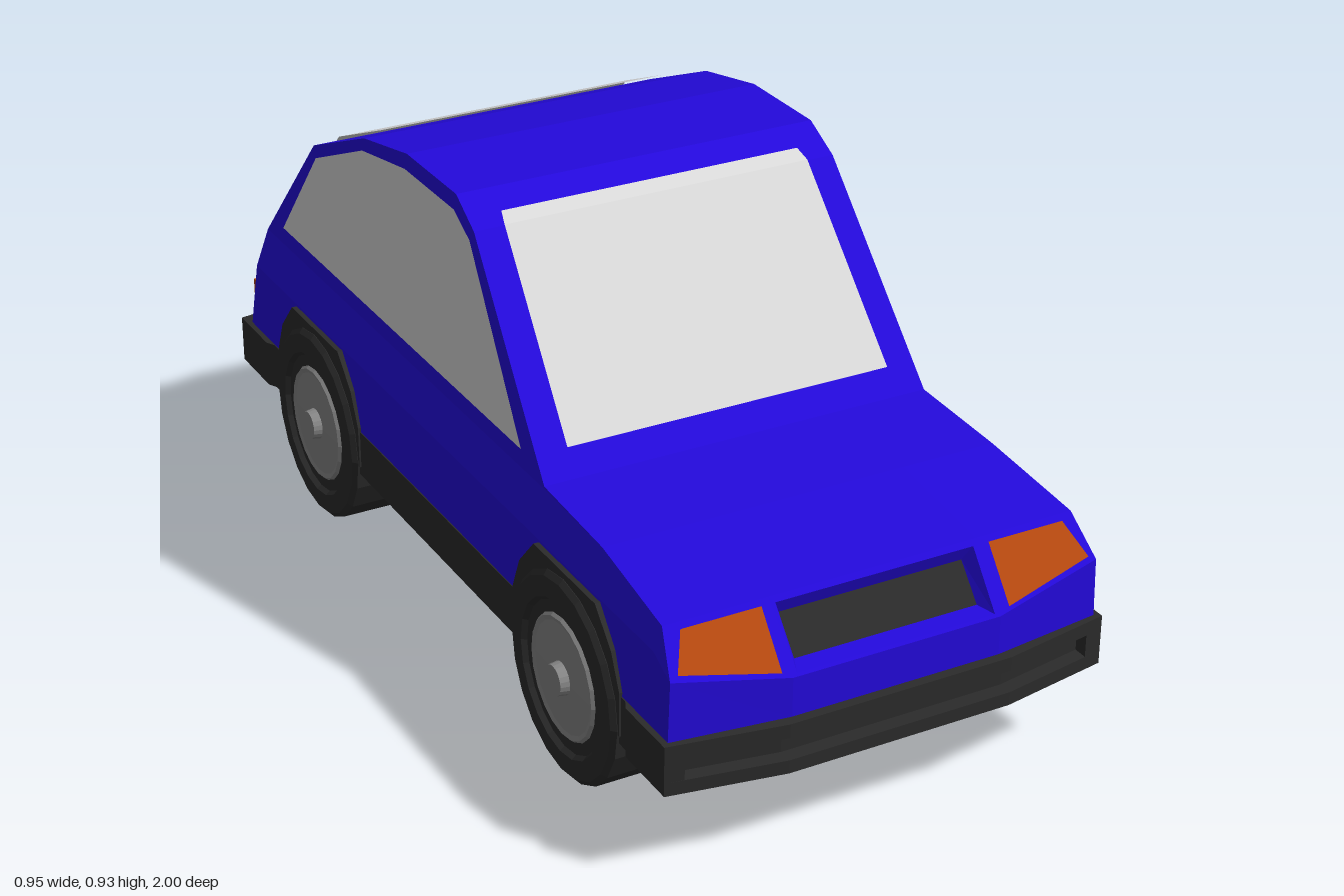
import * as THREE from 'three';

const mat = (name, color, side = THREE.FrontSide) => {
  const m = new THREE.MeshStandardMaterial({ color, side });
  m.name = name;
  return m;
};

export function createModel() {
  const car = new THREE.Group();
  car.name = 'car';
  const blue = mat('blue paint', 0x2409dd);
  const black = mat('black plastic', 0x2b2b2b);
  const glass = mat('pale glass', 0xdadada, THREE.DoubleSide);
  const grey = mat('wheel grey', 0x888888);
  const orange = mat('orange lamp', 0xb8490f, THREE.DoubleSide);

  const add = (name, geo, material) => {
    const flat = geo.index ? geo.toNonIndexed() : geo;
    flat.computeVertexNormals();
    const mesh = new THREE.Mesh(flat, material);
    mesh.name = name;
    car.add(mesh);
    return mesh;
  };
  // Faceted geometry from a list of four-cornered faces
  const fromQuads = (quads) => {
    const pos = [];
    for (const [a, b, c, d] of quads) pos.push(...a, ...b, ...c, ...a, ...c, ...d);
    const g = new THREE.BufferGeometry();
    g.setAttribute('position', new THREE.Float32BufferAttribute(pos, 3));
    return g;
  };
  // Faces between neighbouring rows of points
  const loft = (rows, skip = () => false) => {
    const quads = [];
    for (let i = 0; i < rows.length - 1; i++)
      for (let k = 0; k < rows[i].length - 1; k++)
        if (!skip(i, k)) quads.push([rows[i][k], rows[i + 1][k], rows[i + 1][k + 1], rows[i][k + 1]]);
    return quads;
  };
  const shape = (pts) => new THREE.Shape(pts.map(([x, y]) => new THREE.Vector2(x, y)));

  // Half width of the body at a height
  const hw = (y) => {
    const t = [[0.28, 0.445], [0.43, 0.44], [0.51, 0.41], [0.935, 0.385]];
    const i = y < 0.43 ? 0 : y < 0.51 ? 1 : 2;
    return THREE.MathUtils.mapLinear(y, t[i][0], t[i + 1][0], t[i][1], t[i + 1][1]);
  };

  // Body stations: z and y of the middle, then of the outer edge
  const IN = 0.215;
  const stations = [
    [0.98, 0.28, 0.95, 0.28], [0.98, 0.36, 0.95, 0.4], [0.89, 0.475, 0.888, 0.475],
    [0.65, 0.505], [0.42, 0.515], [0.1, 0.89], [0.02, 0.935], [-0.2, 0.935],
    [-0.4, 0.895], [-0.65, 0.79], [-0.93, 0.51, -0.895, 0.51], [-0.955, 0.28, -0.93, 0.28],
  ];
  const rings = stations.map(([zc, yc, zo = zc, yo = yc]) => {
    const half = [0.28, 0.43, 0.51, yo].map((l) => Math.min(l, yo)).map((y) => [hw(y), y, zo]);
    half.push([IN, yc, zc]);
    return [...half, ...half.slice().reverse().map(([x, y, z]) => [-x, y, z])];
  });
  const bodyQuads = loft(rings, (i, k) => i === 1 && k === 4);

  // Recessed grille: nested rectangles closing the gap in the nose
  const rect = (x, y0, z0, y1, z1) => [[-x, y0, z0], [x, y0, z0], [x, y1, z1], [-x, y1, z1]];
  const frames = [
    rect(IN, 0.36, 0.98, 0.475, 0.89),
    rect(0.205, 0.365, 0.976, 0.465, 0.898),
    rect(0.19, 0.37, 0.94, 0.435, 0.885),
  ];
  for (let f = 0; f < 2; f++)
    for (let j = 0; j < 4; j++) {
      const n = (j + 1) % 4;
      bodyQuads.push([frames[f][j], frames[f][n], frames[f + 1][n], frames[f + 1][j]]);
    }
  add('body', fromQuads(bodyQuads), blue);
  add('grille', fromQuads([frames[2]]), black);

  // Windscreen and rear window: rows of half width, y, z and corner set-back
  const windowPanel = (name, rows, dy, dz) => add(name, fromQuads(loft(rows.map(([x, y, z, bend]) =>
    [[x, bend], [IN, 0], [-IN, 0], [-x, bend]].map(([px, b]) => [px, y + dy, z + b + dz])))), glass);
  windowPanel('windscreen', [[0.345, 0.56, 0.382, 0], [0.327, 0.89, 0.1, 0], [0.32, 0.906, 0.072, 0]], 0.004, 0.005);
  windowPanel('rearWindow', [[0.322, 0.868, -0.465, 0], [0.335, 0.79, -0.65, 0],
    [0.347, 0.59, -0.85, 0.017], [0.325, 0.555, -0.885, 0.017]], 0.006, -0.005);

  // Lower hull with bumpers: three layers, the middle one grooved at the front
  const layer = (name, y0, y1, front) => {
    const half = [...front, [0.457, 0.96], [0.457, 0.82], [0.447, 0.8], [0.447, -0.8], [0.457, -0.82],
      [0.457, -0.962], [0.23, -1]];
    const pts = [...half, ...half.slice().reverse().map(([x, z]) => [-x, z])];
    const g = new THREE.ExtrudeGeometry(shape(pts), { depth: y1 - y0, bevelEnabled: false });
    add(name, g.rotateX(Math.PI / 2).translate(0, y1, 0), black);
  };
  layer('lowerBumper', 0.18, 0.207, [[0.23, 1]]);
  layer('bumperGroove', 0.207, 0.253, [[0.23, 0.97], [0.42, 0.937], [0.42, 0.966]]);
  layer('upperBumper', 0.253, 0.281, [[0.23, 1]]);

  const sideGlass = [[0.33, 0.55], [0.09, 0.87], [0.02, 0.905], [-0.2, 0.905], [-0.4, 0.87], [-0.63, 0.77], [-0.8, 0.55]];
  const arch = [[-0.21, 0.2], [-0.21, 0.29], [-0.18, 0.36], [-0.12, 0.425], [0.12, 0.425], [0.18, 0.36], [0.21, 0.29], [0.21, 0.2]];
  const tyre = [[0, 0.34], [0.205, 0.34], [0.205, 0.452], [0.195, 0.461], [0.155, 0.463], [0.148, 0.453], [0, 0.453]];
  const rim = [[0.125, 0.452], [0.119, 0.459], [0.11, 0.456], [0.033, 0.457], [0.03, 0.475], [0, 0.475]];
  const noseZ = (y) => 0.98 - ((y - 0.36) / 0.115) * 0.09;

  for (const s of [1, -1]) {
    const side = s > 0 ? 'left' : 'right';

    // Side window follows the lean of the cabin
    const win = new THREE.ShapeGeometry(shape(sideGlass)).rotateY(-Math.PI / 2);
    const p = win.attributes.position;
    for (let i = 0; i < p.count; i++) p.setX(i, s * (hw(p.getY(i)) + 0.004));
    add(side + 'SideWindow', win, glass);

    // Headlamp on the sloped nose
    const lamp = [[0.235, 0.465], [0.395, 0.465], [0.425, 0.406], [0.235, 0.37]];
    add(side + 'Headlamp', fromQuads([lamp.map(([x, y]) => [s * x, y + 0.003, noseZ(y) + 0.004])]), orange);

    // Tail lamp
    const tail = add(side + 'TailLamp', new THREE.BoxGeometry(0.195, 0.045, 0.035), orange);
    tail.position.set(s * 0.33, 0.352, -0.945);
    tail.rotation.y = -s * 0.15;

    // Wheels and arches
    for (const [end, z] of [['Front', 0.575], ['Rear', -0.555]]) {
      const a = new THREE.ExtrudeGeometry(shape(arch), { depth: 0.06, bevelEnabled: false });
      add(side + end + 'Arch', a.rotateY(-Math.PI / 2).translate(s > 0 ? 0.451 : -0.391, 0, z), black);
      for (const [part, prof, m] of [['Tyre', tyre, black], ['Rim', rim, grey]]) {
        const g = new THREE.LatheGeometry(prof.map(([r, h]) => new THREE.Vector2(r, h)), 20);
        add(side + end + part, g.rotateZ(-s * Math.PI / 2).translate(0, 0.207, z), m);
      }
    }
  }

  // Blank rear plate
  add('rearPlate', new THREE.BoxGeometry(0.285, 0.1, 0.03), glass).position.set(0, 0.35, -0.957);
  return car;
}
